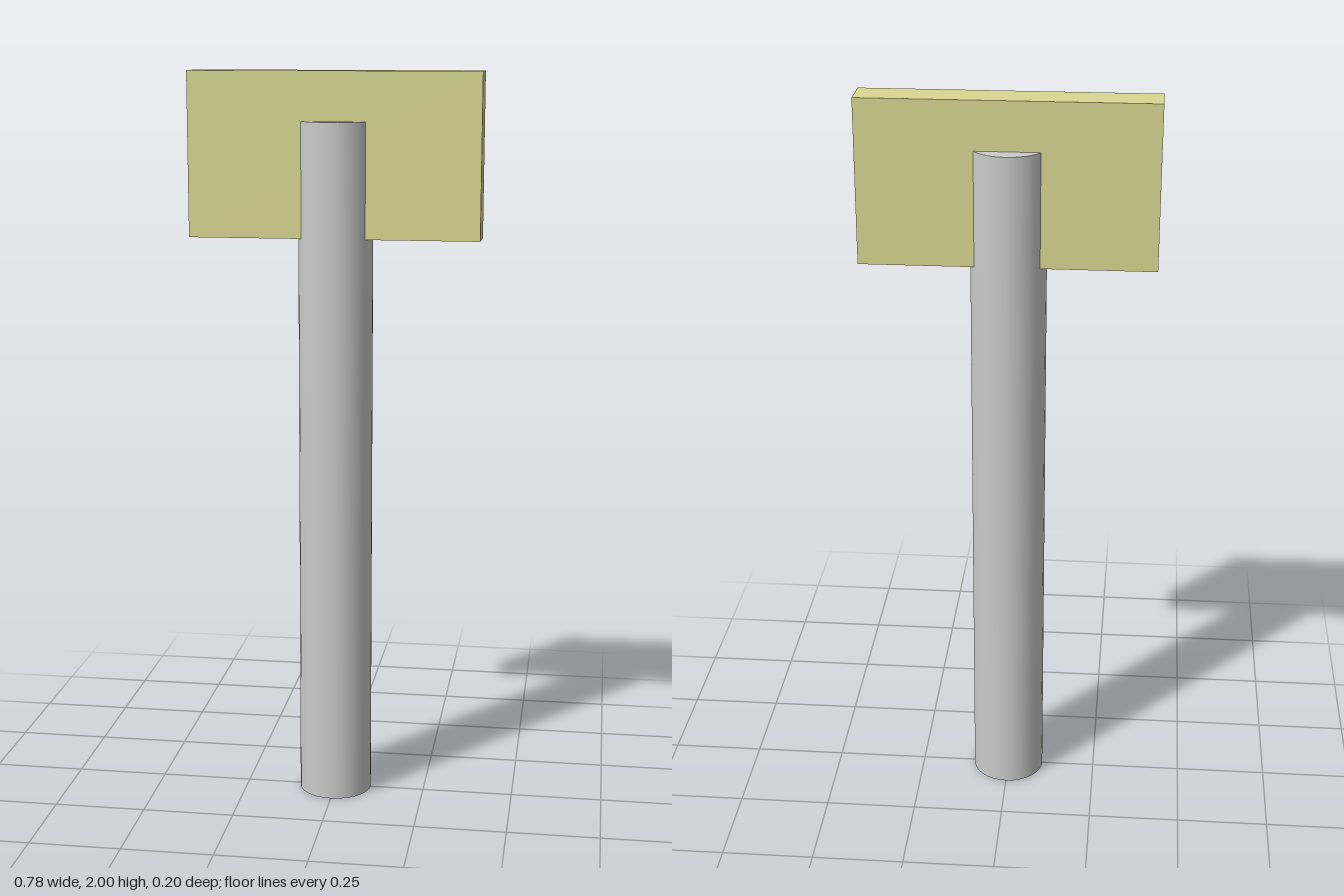
import * as THREE from 'three';

export function createModel() {
  const group = new THREE.Group();

  const addPart = (name, geometry, color, y) => {
    const mesh = new THREE.Mesh(geometry, new THREE.MeshStandardMaterial({ color }));
    mesh.name = name;
    mesh.position.y = y;
    group.add(mesh);
  };

  // Round post standing on the ground
  const postHeight = 1.87;
  addPart('post', new THREE.CylinderGeometry(0.1, 0.1, postHeight, 32), 0xcccccc, postHeight / 2);

  // Flat sign board, the post runs up through its lower part
  const boardBottom = 1.563, boardTop = 2;
  addPart('signBoard', new THREE.BoxGeometry(0.778, boardTop - boardBottom, 0.102),
    0xdad792, (boardTop + boardBottom) / 2);

  return group;
}
